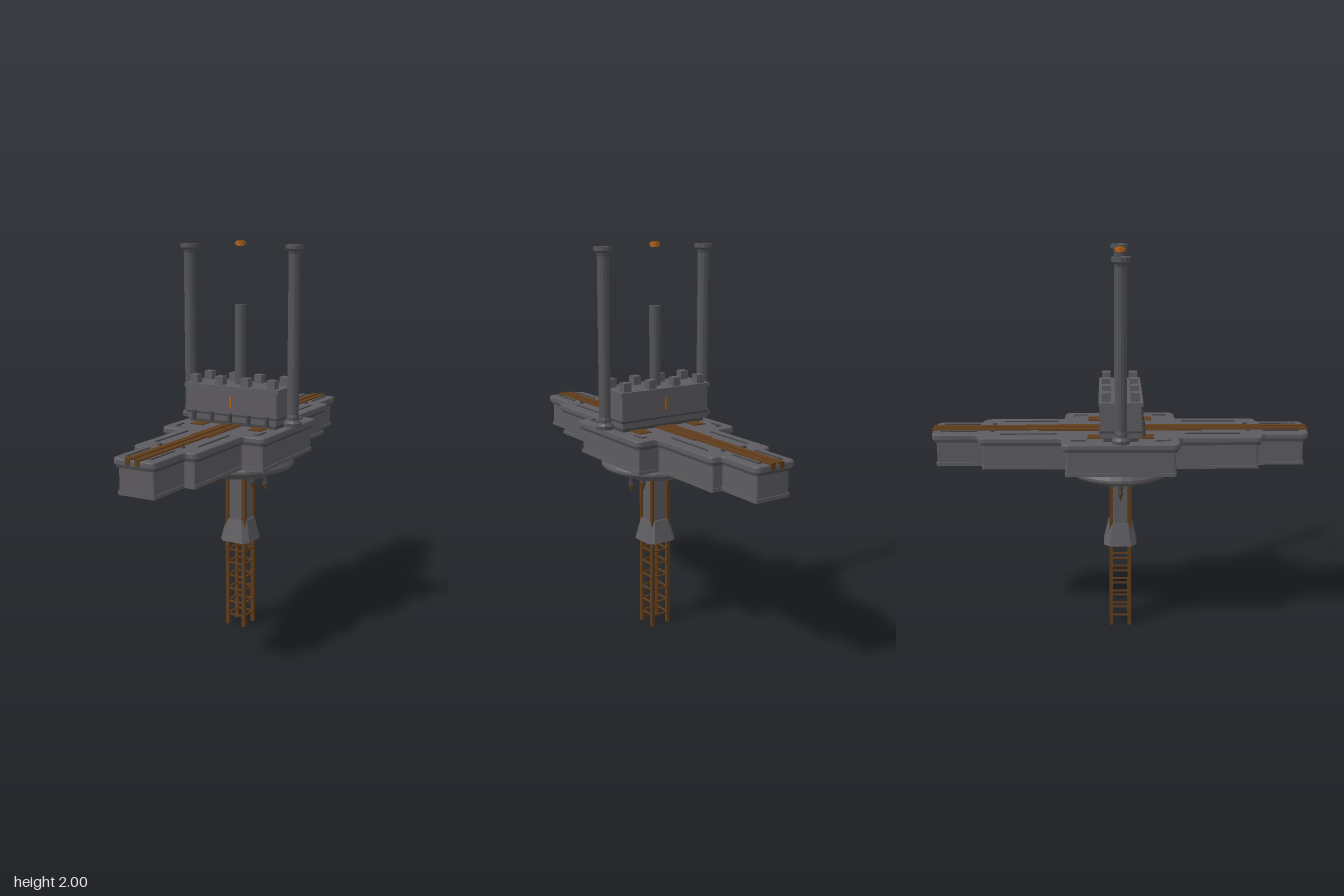
import * as THREE from 'three';

const mat = (name, color) => {
  const m = new THREE.MeshStandardMaterial({ color });
  m.name = name;
  return m;
};

// Stepped, rounded cross-shaped deck outline, shrunk by d
function deckOutline(d, r) {
  const q = [[0.115, 0.71], [0.115, 0.947], [0.175, 0.29], [0.175, 0.71], [0.295, 0.29]];
  const f = ([x, z]) => [x - d, z - d];
  const quarter = [f(q[4]), f(q[2]), f(q[3]), f(q[0]), f(q[1])]; // side towards the end
  const mirror = (list, sx, sy) => list.map(([x, y]) => [x * sx, y * sy]);
  const pts = [
    ...quarter,
    ...mirror(quarter, -1, 1).reverse(),
    ...mirror(quarter, -1, -1),
    ...mirror(quarter, 1, -1).reverse(),
  ].map(([x, y]) => new THREE.Vector2(x, y));
  const shape = new THREE.Shape();
  pts.forEach((p, i) => {
    const prev = pts[(i + pts.length - 1) % pts.length], next = pts[(i + 1) % pts.length];
    const a = prev.clone().sub(p).normalize().multiplyScalar(r).add(p);
    const b = next.clone().sub(p).normalize().multiplyScalar(r).add(p);
    if (i === 0) shape.moveTo(a.x, a.y); else shape.lineTo(a.x, a.y);
    shape.quadraticCurveTo(p.x, p.y, b.x, b.y);
  });
  shape.closePath();
  return shape;
}

// Square with cut corners, lofted from half width w0 at y0 to w1 at y1
function cutPrism(w0, w1, y0, y1, cut) {
  const c = cut;
  const shape = new THREE.Shape([[1, -c], [1, c], [c, 1], [-c, 1], [-1, c], [-1, -c], [-c, -1], [c, -1]]
    .map(([x, y]) => new THREE.Vector2(x, y)));
  const g = new THREE.ExtrudeGeometry(shape, { depth: 1, bevelEnabled: false }).rotateX(-Math.PI / 2);
  const p = g.attributes.position;
  for (let i = 0; i < p.count; i++) {
    const t = p.getY(i), w = w0 + (w1 - w0) * t;
    p.setXYZ(i, p.getX(i) * w, y0 + (y1 - y0) * t, p.getZ(i) * w);
  }
  g.computeVertexNormals();
  return g;
}

export function createModel() {
  const root = new THREE.Group();
  root.name = 'floatingStation';
  const hull = mat('hullGrey', 0x5d5b5f);
  const trim = mat('trimGrey', 0x454447);
  const rust = mat('rustBrown', 0x5e3c1a);
  const amber = mat('amber', 0xb05f14);
  const column = mat('columnGrey', 0x535256);
  const pipe = column.clone();
  pipe.name = 'pipeGrey';
  pipe.side = THREE.DoubleSide;

  const add = (name, geo, m, x = 0, y = 0, z = 0) => {
    const mesh = new THREE.Mesh(geo, m);
    mesh.name = name;
    mesh.position.set(x, y, z);
    root.add(mesh);
    return mesh;
  };
  // Box given by its centre x, z and its bottom and top heights
  const box = (name, m, w, d, y0, y1, x = 0, z = 0) =>
    add(name, new THREE.BoxGeometry(w, y1 - y0, d), m, x, (y0 + y1) / 2, z);

  // Deck layers: foot, wall, ledge and rounded rim
  const layer = (name, inset, r, y0, y1, bevel, m) => {
    const g = new THREE.ExtrudeGeometry(deckOutline(inset + bevel, r), {
      depth: y1 - y0 - 2 * bevel, bevelEnabled: bevel > 0, bevelSize: bevel,
      bevelThickness: bevel, bevelSegments: 2, curveSegments: 4,
    });
    add(name, g.rotateX(-Math.PI / 2), m, 0, y0 + bevel, 0);
  };
  layer('deckFoot', 0.017, 0.01, 0.92, 0.937, 0, hull);
  layer('deckWall', 0.022, 0.01, 0.93, 1.05, 0, hull);
  layer('deckLedge', 0.012, 0.02, 1.045, 1.062, 0, trim);
  layer('deckRim', 0, 0.03, 1.057, 1.09, 0.007, hull);

  // Brown tracks along the deck, with overhanging ends
  for (const s of [-1, 1]) {
    box('deckTrack', rust, 0.034, 1.896, 1.088, 1.096, s * 0.023);
    box('wideTrack', rust, 0.014, 0.82, 1.088, 1.094, s * 0.047);
    box('sidePlate', rust, 0.07, 0.33, 1.088, 1.094, s * 0.165);
    for (const e of [-1, 1]) {
      box('trackEnd', rust, 0.022, 0.012, 1.066, 1.098, s * 0.025, e * 0.947);
      // Deck seams and bolts: [x, z start, z end]
      for (const [x, a, b] of [[0.066, 0.72, 0.9], [0.115, 0.32, 0.6], [0.235, 0.17, 0.24]])
        box('deckSeam', trim, 0.007, b - a, 1.088, 1.095, s * x, e * (a + b) / 2);
      box('deckSeamEnd', trim, 0.02, 0.007, 1.088, 1.095, s * 0.06, e * 0.9);
      box('deckSeamCorner', trim, 0.03, 0.007, 1.088, 1.095, s * 0.223, e * 0.24);
      box('deckBolt', trim, 0.014, 0.018, 1.088, 1.098, s * 0.062, e * 0.645);
    }
  }

  // Round dish below the deck
  const dish = [[0, 0.83], [0.168, 0.83], [0.178, 0.843], [0.262, 0.868], [0.275, 0.882], [0.275, 0.895], [0.262, 0.92], [0, 0.925]];
  const dishGeo = new THREE.LatheGeometry(dish.map(([x, y]) => new THREE.Vector2(x, y)), 32).toNonIndexed();
  dishGeo.computeVertexNormals();
  add('underDish', dishGeo, hull);

  // Hanging spikes
  for (const x of [-0.145, -0.072, 0.072, 0.145]) {
    add('spikeStem', new THREE.CylinderGeometry(0.009, 0.009, 0.06, 8), trim, x, 0.81, 0);
    add('spikeCollar', new THREE.CylinderGeometry(0.014, 0.014, 0.012, 8), trim, x, 0.788, 0);
    add('spikeTip', new THREE.ConeGeometry(0.014, 0.04, 8).rotateX(Math.PI), rust, x, 0.763, 0);
  }

  // Shaft, flared skirt and lattice mast
  add('shaft', cutPrism(0.052, 0.052, 0.57, 0.84, 0.66), hull);
  add('skirt', cutPrism(0.086, 0.06, 0.47, 0.585, 0.66), hull);
  for (const x of [-0.048, 0.048])
    for (const z of [-0.048, 0.048])
      box('mastLeg', rust, 0.018, 0.018, 0, 0.84, x, z);
  for (let i = 0; i < 6; i++) {
    const y = 0.056 + i * 0.072;
    for (const s of [-1, 1]) {
      box('rung', rust, 0.1, 0.008, y - 0.004, y + 0.004, 0, s * 0.048);
      box('rung', rust, 0.008, 0.1, y - 0.004, y + 0.004, s * 0.048, 0);
    }
  }

  // Central block with base, lips and brackets
  box('blockBase', trim, 0.49, 0.17, 1.085, 1.12);
  box('blockSkirt', hull, 0.51, 0.205, 1.11, 1.145);
  box('blockBody', hull, 0.515, 0.2, 1.14, 1.28);
  box('blockLip', hull, 0.535, 0.216, 1.272, 1.29);
  box('blockLowerLip', trim, 0.525, 0.21, 1.138, 1.148);
  for (let i = -2; i <= 2; i++)
    add('bracket', new THREE.CylinderGeometry(0.012, 0.012, 0.045, 8), trim, i * 0.105, 1.13, 0.11);
  for (const s of [-1, 1])
    box('amberSlit', amber, 0.008, 0.008, 1.175, 1.24, 0, s * 0.101);
  for (const x of [-0.22, -0.073, 0.073, 0.22])
    for (const z of [-0.07, 0.07])
      box('roofCube', hull, 0.044, 0.044, 1.288, 1.333, x, z);

  // Central column and floating beacon
  add('centreColumn', new THREE.CylinderGeometry(0.028, 0.028, 0.4, 12), column, 0, 1.49, 0);
  const beacon = new THREE.CylinderGeometry(0.02, 0.02, 0.024, 10);
  add('beaconCore', beacon, amber, 0, 1.988, 0);
  add('beaconRim', new THREE.CylinderGeometry(0.027, 0.027, 0.014, 10), amber, 0, 1.988, 0);

  // Hollow side pillars with collars at both ends
  const pillar = [[0.029, 1.1], [0.044, 1.1], [0.046, 1.118], [0.032, 1.132], [0.032, 1.15], [0.029, 1.16], [0.029, 1.94],
    [0.034, 1.955], [0.045, 1.965], [0.045, 1.985], [0.03, 1.985], [0.026, 1.96], [0.026, 1.12], [0.029, 1.1]];
  const pillarGeo = new THREE.LatheGeometry(pillar.map(([x, y]) => new THREE.Vector2(x, y)), 12).toNonIndexed();
  pillarGeo.computeVertexNormals();
  for (const s of [-1, 1]) add('sidePillar', pillarGeo, pipe, s * 0.297, 0, 0);

  return root;
}
